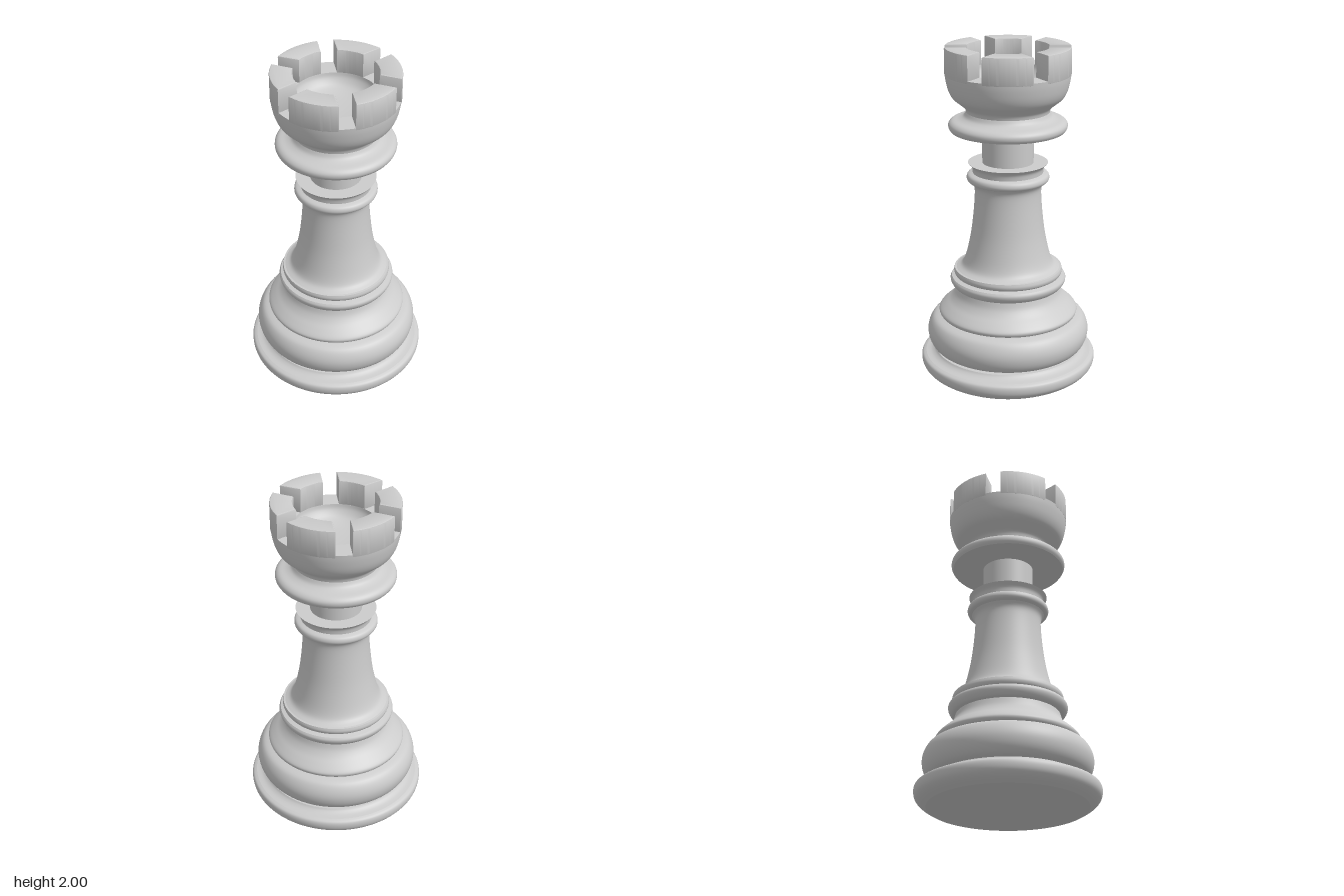
import * as THREE from 'three';
import { mergeGeometries, toCreasedNormals } from 'three/addons/utils/BufferGeometryUtils.js';

const SEGMENTS = 96;
const material = new THREE.MeshStandardMaterial({ color: 0xcccccc });

// Turned part: each section is a smooth [radius, height] curve, with a sharp edge between sections.
function turned(name, sections) {
  const parts = sections.map((section) => {
    const points = section.map(([r, y]) => new THREE.Vector2(r, y));
    const profile = points.length > 2
      ? new THREE.SplineCurve(points).getPoints((points.length - 1) * 4)
      : points;
    return new THREE.LatheGeometry(profile, SEGMENTS);
  });
  const mesh = new THREE.Mesh(mergeGeometries(parts), material);
  mesh.name = name;
  return mesh;
}

// One battlement block: a ring sector whose sides run parallel to the gaps beside it.
function merlonGeometry(outer, inner, gap, bottom, top) {
  const bevel = 0.007;
  const half = (r) => Math.PI / 6 - Math.asin(gap / 2 / r);
  const shape = new THREE.Shape();
  shape.absarc(0, 0, outer, -half(outer), half(outer), false);
  shape.absarc(0, 0, inner, half(inner), -half(inner), true);
  const geometry = new THREE.ExtrudeGeometry(shape, {
    depth: top - bottom - 2 * bevel,
    curveSegments: 20,
    bevelSize: bevel,
    bevelThickness: bevel,
    bevelOffset: -bevel,
    bevelSegments: 2,
  });
  geometry.rotateX(-Math.PI / 2).translate(0, bottom + bevel, 0);
  return toCreasedNormals(geometry, 0.45);
}

export function createModel() {
  const rook = new THREE.Group();
  rook.name = 'rook';

  // Foot with its undercut rim
  rook.add(turned('foot', [
    [[0, 0], [0.46, 0]],
    [[0.46, 0], [0.5, 0.025], [0.525, 0.053], [0.532, 0.085], [0.526, 0.11], [0.505, 0.121]],
    [[0.505, 0.121], [0.475, 0.127], [0.455, 0.138], [0.445, 0.15]],
    [[0.445, 0.15], [0.38, 0.15]],
  ]));

  // Wide rounded cushion and the flared collar on it
  rook.add(turned('cushion', [
    [[0.41, 0.15], [0.453, 0.17], [0.48, 0.21], [0.49, 0.262], [0.48, 0.31], [0.453, 0.35], [0.41, 0.367]],
    [[0.41, 0.367], [0.38, 0.367]],
  ]));
  rook.add(turned('flaredCollar', [
    [[0.39, 0.367], [0.41, 0.373], [0.419, 0.392], [0.41, 0.41], [0.38, 0.438], [0.345, 0.468],
      [0.318, 0.505], [0.305, 0.55]],
  ]));

  // Pair of thin rings below the stem
  rook.add(turned('lowerRing', [
    [[0.3, 0.545], [0.325, 0.552], [0.343, 0.575], [0.348, 0.597], [0.34, 0.613]],
    [[0.34, 0.613], [0.3, 0.622]],
  ]));
  rook.add(turned('upperRing', [
    [[0.3, 0.618], [0.318, 0.625], [0.326, 0.645], [0.322, 0.665]],
    [[0.322, 0.665], [0.28, 0.67]],
  ]));

  // Tapering stem with bead and cupped top
  rook.add(turned('stem', [
    [[0.31, 0.667], [0.278, 0.685], [0.257, 0.725], [0.237, 0.8], [0.218, 0.9], [0.204, 1.02],
      [0.197, 1.12], [0.2, 1.17], [0.217, 1.198]],
    [[0.217, 1.198], [0.236, 1.207], [0.244, 1.225], [0.236, 1.247], [0.208, 1.258]],
    [[0.208, 1.258], [0.213, 1.29], [0.235, 1.316]],
    [[0.235, 1.316], [0, 1.316]],
  ]));

  // Plain neck
  rook.add(turned('neck', [[[0.151, 1.31], [0.151, 1.52]]]));

  // Head: underside, collar, cup wall, gap floor and hollow bowl
  rook.add(turned('head', [
    [[0, 1.512], [0.335, 1.512]],
    [[0.335, 1.512], [0.346, 1.53], [0.345, 1.553], [0.325, 1.572], [0.285, 1.583], [0.257, 1.598], [0.243, 1.622]],
    [[0.243, 1.622], [0.252, 1.648], [0.285, 1.676], [0.322, 1.708], [0.345, 1.752], [0.359, 1.81], [0.364, 1.855]],
    [[0.364, 1.855], [0.24, 1.855]],
    [[0.24, 1.855], [0.232, 1.825], [0.2, 1.788], [0.14, 1.767], [0.07, 1.76], [0, 1.758]],
  ]));

  // Six battlements around the rim
  const geometry = merlonGeometry(0.365, 0.24, 0.092, 1.84, 2);
  for (let i = 0; i < 6; i++) {
    const merlon = new THREE.Mesh(geometry, material);
    merlon.name = 'battlement';
    merlon.rotation.y = (i * Math.PI) / 3;
    rook.add(merlon);
  }

  return rook;
}
